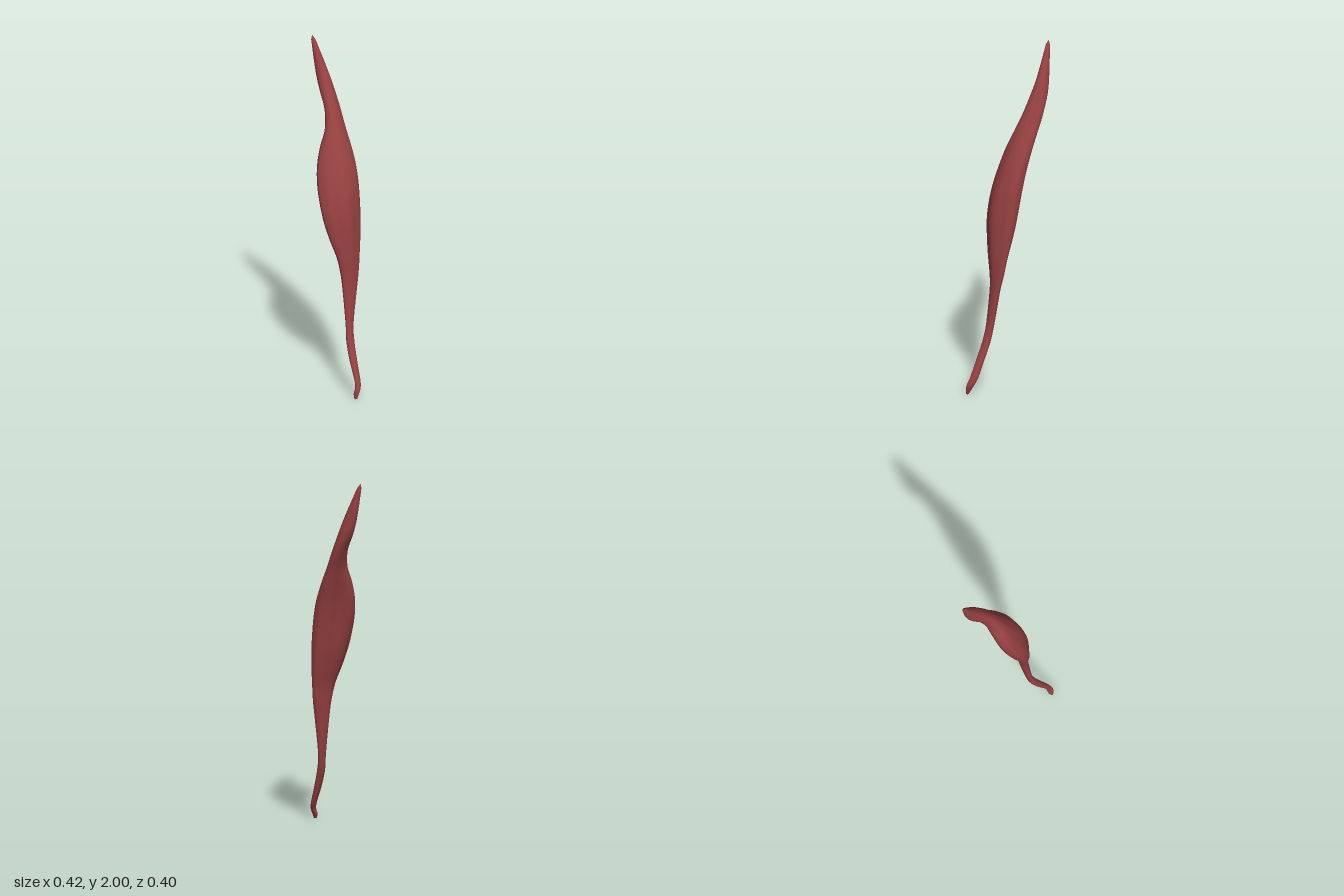
import * as THREE from 'three';

// Cross-sections from bottom to top: [y, xMin, xMax, zMin, zMax, skew]
// skew (-1..1) is the x/z correlation that turns each oval diagonal.
const SECTIONS = [
  [0.00, 0.184, 0.199, 0.184, 0.197, 0],
  [0.03, 0.177, 0.207, 0.168, 0.198, 0.1],
  [0.06, 0.182, 0.211, 0.150, 0.192, 0],
  [0.10, 0.172, 0.203, 0.130, 0.176, 0],
  [0.20, 0.134, 0.173, 0.101, 0.148, -0.1],
  [0.30, 0.105, 0.146, 0.073, 0.121, -0.2],
  [0.40, 0.094, 0.133, 0.054, 0.103, -0.3],
  [0.60, 0.070, 0.141, 0.020, 0.087, -0.5],
  [0.70, 0.058, 0.144, -0.003, 0.091, -0.58],
  [0.80, 0.038, 0.144, -0.022, 0.104, -0.6],
  [0.90, 0.000, 0.142, -0.045, 0.116, -0.58],
  [1.00, -0.036, 0.138, -0.065, 0.121, -0.53],
  [1.10, -0.066, 0.130, -0.080, 0.112, -0.48],
  [1.20, -0.090, 0.117, -0.095, 0.092, -0.44],
  [1.30, -0.102, 0.094, -0.112, 0.062, -0.42],
  [1.40, -0.098, 0.058, -0.134, 0.026, -0.36],
  [1.50, -0.086, 0.016, -0.158, -0.020, -0.2],
  [1.60, -0.105, -0.022, -0.182, -0.065, 0],
  [1.70, -0.148, -0.062, -0.196, -0.100, 0.1],
  [1.80, -0.178, -0.104, -0.197, -0.130, 0.1],
  [2.00, -0.213, -0.196, -0.189, -0.172, 0],
];

const RINGS = 160, SIDES = 56;

// Smooth curves through the section centres and through their half-sizes
const centres = new THREE.CatmullRomCurve3(
  SECTIONS.map(([y, x0, x1, z0, z1]) => new THREE.Vector3((x0 + x1) / 2, y, (z0 + z1) / 2)),
  false, 'catmullrom', 0.5);
const sizes = new THREE.CatmullRomCurve3(
  SECTIONS.map(([, x0, x1, z0, z1, skew]) => new THREE.Vector3((x1 - x0) / 2, skew, (z1 - z0) / 2)),
  false, 'catmullrom', 0.5);

const bell = (y, middle, width) => Math.exp(-(((y - middle) / width) ** 2));

function muscleGeometry() {
  const pos = [], index = [];
  for (let j = 0; j <= RINGS; j++) {
    const c = centres.getPoint(j / RINGS), s = sizes.getPoint(j / RINGS);
    const phase = Math.acos(s.y);
    const end = j === 0 || j === RINGS ? 0 : 1; // close both tips
    const hollow = 0.42 * bell(c.y, 1.28, 0.26); // long hollow on the back right
    const swell = 0.2 * bell(c.y, 0.98, 0.32); // fuller front left
    for (let i = 0; i < SIDES; i++) {
      const t = (i / SIDES) * Math.PI * 2;
      const dx = s.x * Math.cos(t), dz = s.z * Math.cos(t + phase);
      const r = Math.hypot(dx, dz);
      const back = Math.max(0, (-0.65 * dx - 0.76 * dz) / r);
      const front = Math.max(0, (0.76 * dx + 0.65 * dz) / r);
      // shallow lengthwise fibres
      const fibre = 0.008 * Math.sin(t * 11 + 3 * c.y) + 0.006 * Math.sin(t * 7 - 5 * c.y);
      const k = end * (1 - hollow * back ** 4 + swell * front ** 6 + fibre);
      pos.push(c.x + dx * k, c.y, c.z + dz * k);
    }
  }
  for (let j = 0; j < RINGS; j++) {
    for (let i = 0; i < SIDES; i++) {
      const n = (i + 1) % SIDES;
      const a = j * SIDES + i, b = j * SIDES + n, d = a + SIDES, e = b + SIDES;
      index.push(a, b, d, b, e, d);
    }
  }
  const geometry = new THREE.BufferGeometry();
  geometry.setAttribute('position', new THREE.Float32BufferAttribute(pos, 3));
  geometry.setIndex(index);
  geometry.computeVertexNormals();
  return geometry;
}

export function createModel() {
  const group = new THREE.Group();
  group.name = 'muscle';
  const material = new THREE.MeshStandardMaterial({ color: 0x984141 });
  // belly with its upper and lower tendons in one continuous skin
  const belly = new THREE.Mesh(muscleGeometry(), material);
  belly.name = 'muscleBelly';
  group.add(belly);
  return group;
}
